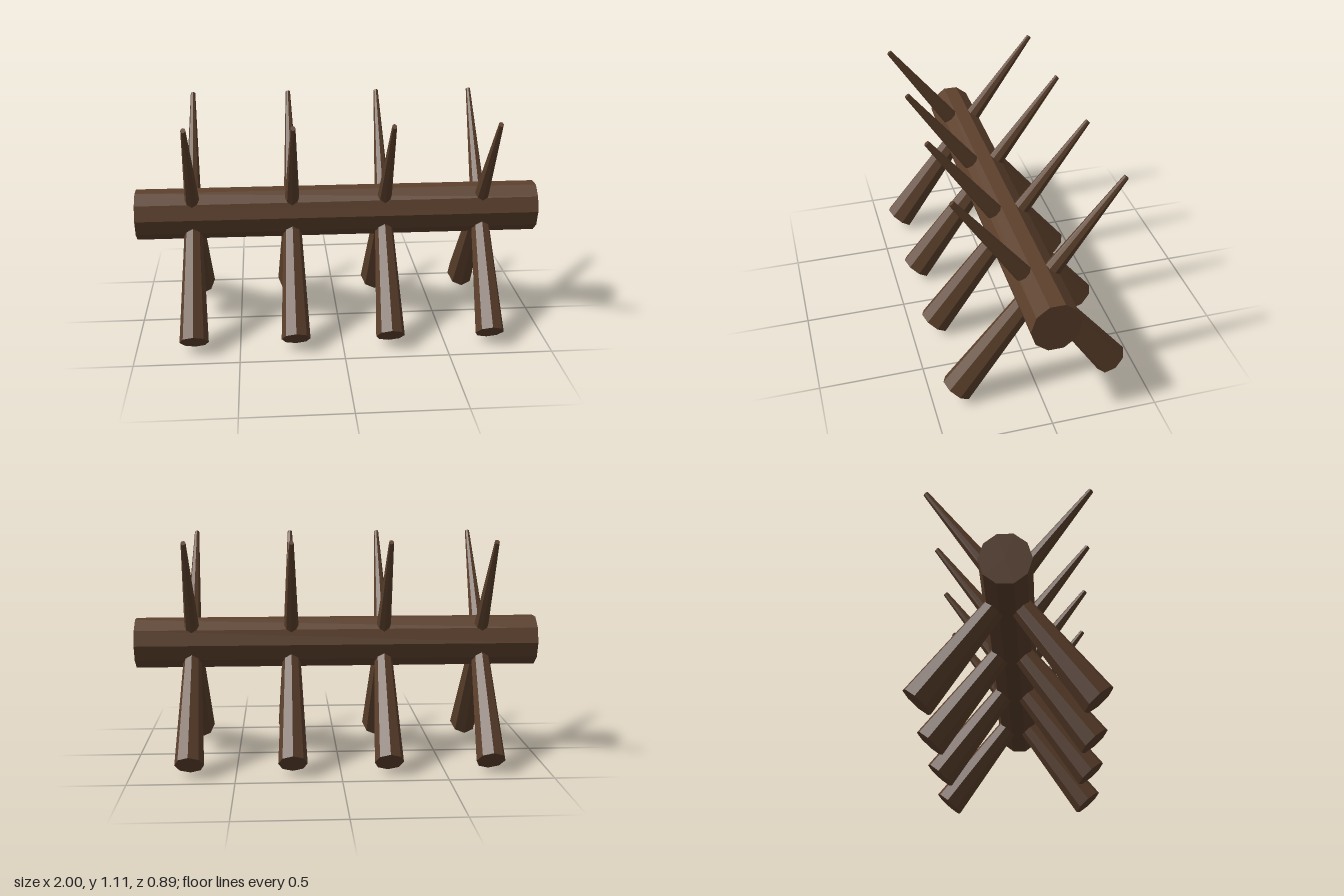
import * as THREE from 'three';

export function createModel() {
  const model = new THREE.Group();
  const wood = new THREE.MeshStandardMaterial({ color: 0x5c402c, flatShading: true });
  wood.name = 'brown wood';
  const AXIS_Y = 0.58;

  const addPart = (name, geometry, x) => {
    const mesh = new THREE.Mesh(geometry, wood);
    mesh.name = name;
    mesh.position.set(x, AXIS_Y, 0);
    model.add(mesh);
  };

  // Horizontal ten-sided log, slightly flattened front to back
  const log = new THREE.CylinderGeometry(0.126, 0.126, 2, 10);
  log.rotateZ(Math.PI / 2).scale(1, 1, 0.913);
  addPart('log', log, 0);

  // Tapered stakes crossing through the log, thick end down
  const tilt = THREE.MathUtils.degToRad(38.6);
  for (const side of [1, -1]) {
    const stake = new THREE.CylinderGeometry(0.0145, 0.0875, 1.34, 8);
    stake.rotateX(side * tilt).scale(0.8, 1, 0.913);
    for (const x of [-0.72, -0.23, 0.23, 0.72]) {
      addPart(side > 0 ? 'forwardStake' : 'backwardStake', stake, x);
    }
  }
  return model;
}
